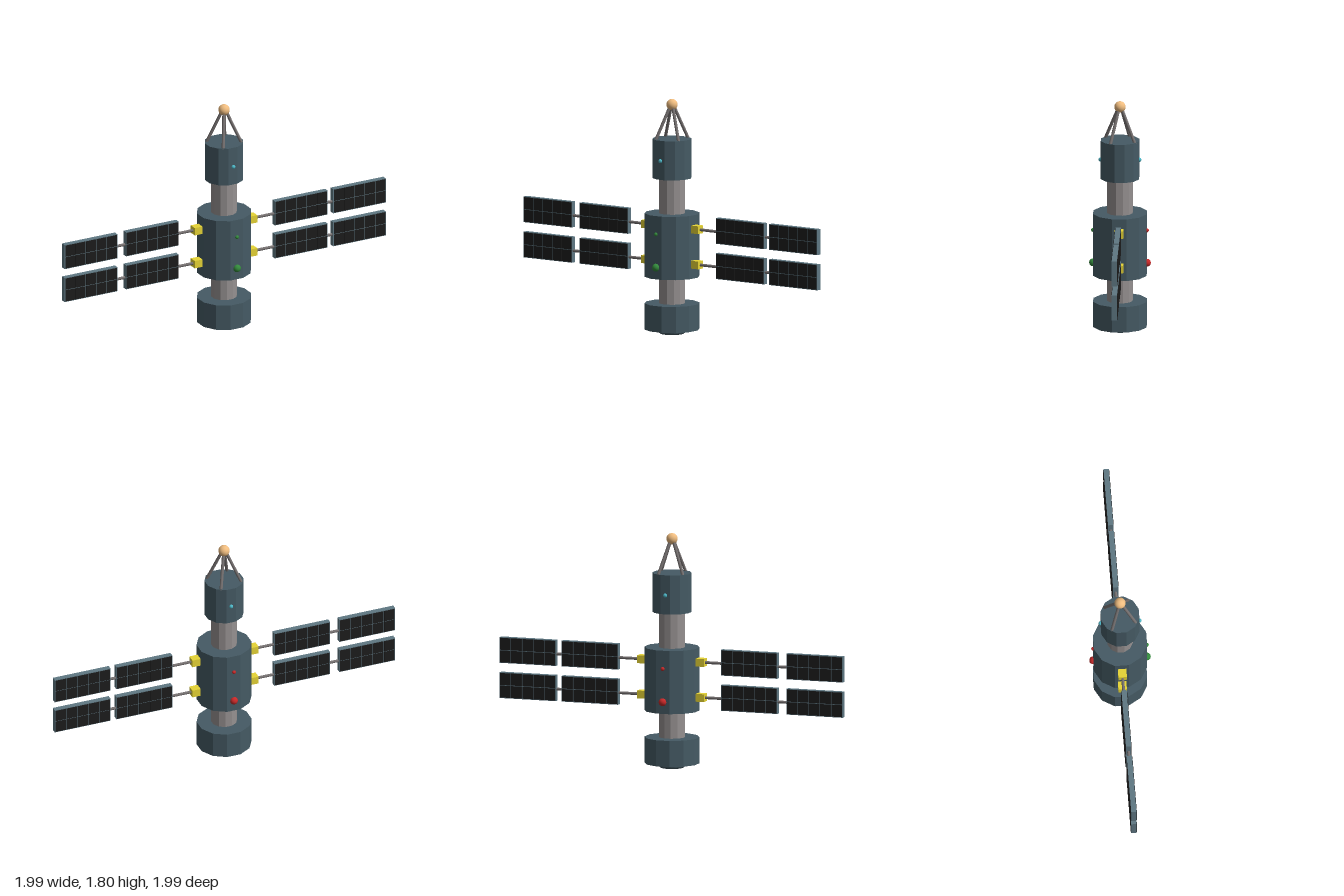
import * as THREE from 'three';

const mat = (color, flatShading = false) => new THREE.MeshStandardMaterial({ color, flatShading });
const slate = mat(0x455a64, true);
const hull = mat(0x959090, true);
const strut = mat(0x757070);
const frame = mat(0x5f7883);
const cell = mat(0x1c1c1c);
const yellow = mat(0xe6d435);
const green = mat(0x338a3c);
const red = mat(0xc62828);
const cyan = mat(0x4db6c6);
const gold = mat(0xf0bd80);

function add(parent, name, geometry, material, x = 0, y = 0, z = 0) {
  const mesh = new THREE.Mesh(geometry, material);
  mesh.name = name;
  mesh.position.set(x, y, z);
  parent.add(mesh);
  return mesh;
}

// Twelve-sided drum between two heights
function drum(parent, name, radius, y0, y1, material) {
  return add(parent, name, new THREE.CylinderGeometry(radius, radius, y1 - y0, 12), material, 0, (y0 + y1) / 2, 0);
}

// Round rod between two points
function rod(parent, name, a, b, radius) {
  const dir = b.clone().sub(a);
  const mesh = add(parent, name, new THREE.CylinderGeometry(radius, radius, dir.length(), 10), strut);
  mesh.position.copy(a).add(b).multiplyScalar(0.5);
  mesh.quaternion.setFromUnitVectors(new THREE.Vector3(0, 1, 0), dir.normalize());
  return mesh;
}

// Framed solar panel with a grid of dark cells on both faces
function solarPanel() {
  const panel = new THREE.Group();
  panel.name = 'solarPanel';
  const w = 0.455, h = 0.197, t = 0.04, cols = 5, rows = 2, gap = 0.005;
  add(panel, 'panelFrame', new THREE.BoxGeometry(w, h, t), frame);
  const cw = (w - gap) / cols, ch = (h - gap) / rows;
  const cellGeo = new THREE.BoxGeometry(cw - gap, ch - gap, 0.006);
  for (const side of [-1, 1])
    for (let i = 0; i < cols; i++)
      for (let j = 0; j < rows; j++)
        add(panel, 'solarCell', cellGeo, cell,
          (i - (cols - 1) / 2) * cw, (j - (rows - 1) / 2) * ch, side * t / 2);
  return panel;
}

export function createModel() {
  const model = new THREE.Group();
  model.name = 'spaceStation';

  // Stacked body
  drum(model, 'coreTube', 0.1, 0.1, 1.3, hull);
  drum(model, 'baseDrum', 0.21, 0.035, 0.235, slate);
  drum(model, 'middleDrum', 0.21, 0.44, 0.925, slate);
  drum(model, 'upperDrum', 0.15, 1.195, 1.495, slate);

  // Docking ring under the base
  add(model, 'dockingRing', new THREE.TorusGeometry(0.08, 0.03, 10, 24), slate, 0, 0.03, 0).rotation.x = Math.PI / 2;

  // Antenna mast: four leaning struts and a ball
  for (let i = 0; i < 4; i++) {
    const a = 0.24 + i * Math.PI / 2;
    rod(model, 'mastStrut',
      new THREE.Vector3(0.135 * Math.cos(a), 1.485, -0.135 * Math.sin(a)),
      new THREE.Vector3(0.012 * Math.cos(a), 1.75, -0.012 * Math.sin(a)), 0.012);
  }
  add(model, 'mastBall', new THREE.SphereGeometry(0.043, 24, 16), gold, 0, 1.755, 0);

  // Arms and lights lie on axes turned 45 degrees from the body
  const turned = new THREE.Group();
  turned.name = 'armsAndLights';
  turned.rotation.y = Math.PI / 4;
  model.add(turned);

  for (const side of [-1, 1]) {
    for (const y of [0.55, 0.82]) {
      const arm = new THREE.Group();
      arm.name = side > 0 ? 'leftArm' : 'rightArm';
      arm.position.y = y;
      turned.add(arm);
      add(arm, 'armMount', new THREE.BoxGeometry(0.07, 0.06, 0.065), yellow, side * 0.235, 0, 0);
      rod(arm, 'armRod', new THREE.Vector3(side * 0.2, 0, 0), new THREE.Vector3(side * 1.38, 0, 0), 0.011);
      for (const d of [side > 0 ? 0.657 : 0.63, 1.16]) {
        const panel = solarPanel();
        panel.position.set(side * d, 0.008, 0);
        arm.add(panel);
      }
    }
    // Running lights: green on the front side, red behind
    const light = side > 0 ? green : red;
    add(turned, 'largeLight', new THREE.SphereGeometry(0.03, 16, 12), light, 0, 0.53, side * 0.204);
    add(turned, 'smallLight', new THREE.SphereGeometry(0.015, 12, 8), light, 0, 0.785, side * 0.204);
    add(turned, 'upperLight', new THREE.SphereGeometry(0.016, 12, 8), cyan, 0, 1.34, side * 0.147);
  }

  return model;
}
